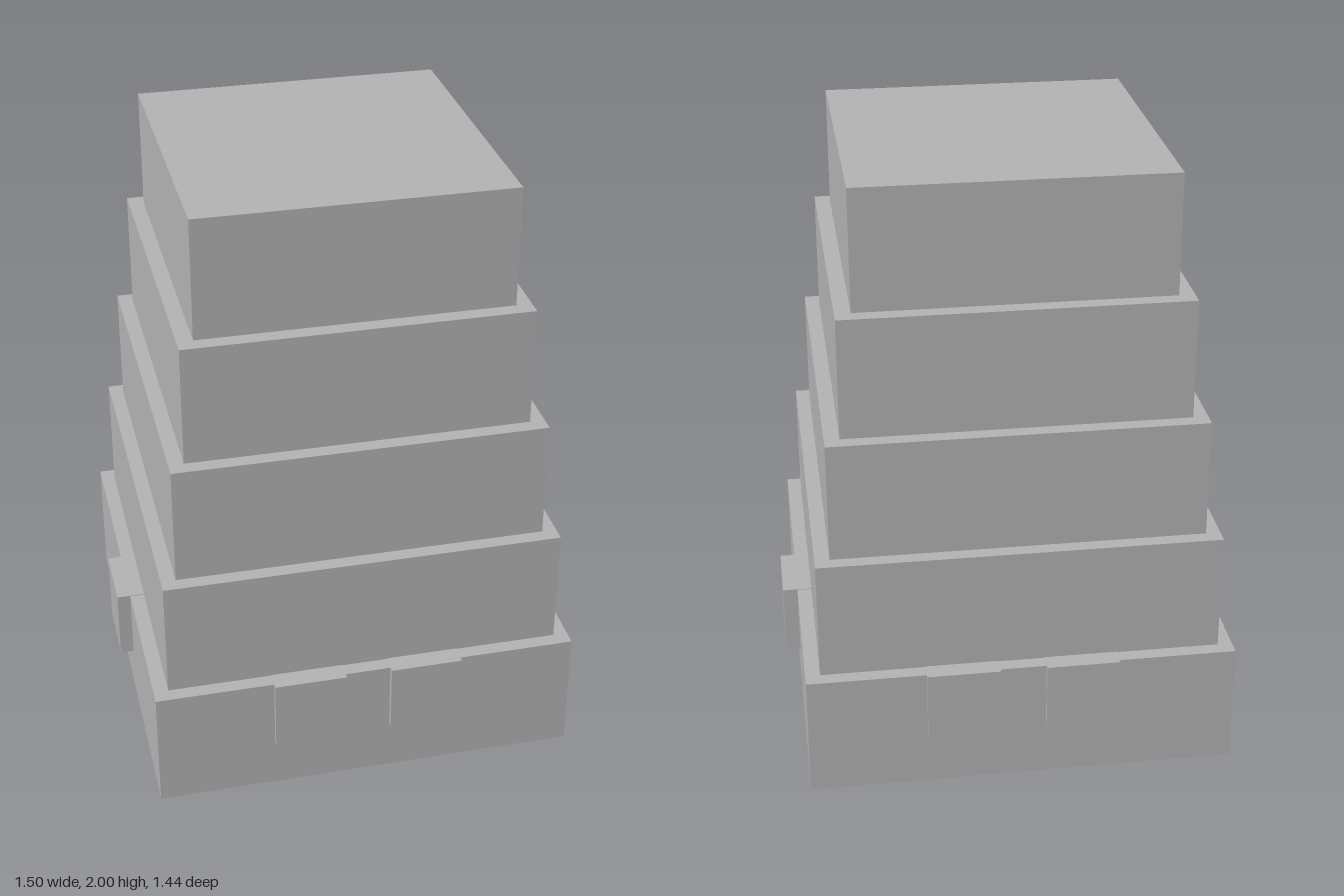
import * as THREE from 'three';

export function createModel() {
  const model = new THREE.Group();
  const grey = new THREE.MeshStandardMaterial({ color: 0xb2b2b2 });
  grey.name = 'grey';

  function addBox(name, w, h, d, x, bottom, z) {
    const mesh = new THREE.Mesh(new THREE.BoxGeometry(w, h, d), grey);
    mesh.name = name;
    mesh.position.set(x, bottom + h / 2, z);
    model.add(mesh);
  }

  // Five stacked square tiers, each narrower than the one below
  const halfWidths = [0.703, 0.655, 0.607, 0.558, 0.507];
  const levels = [0, 0.411, 0.808, 1.205, 1.603, 2];
  const shift = -0.002;
  halfWidths.forEach((half, i) => {
    addBox(`tier${i + 1}`, half * 2, levels[i + 1] - levels[i], half * 2, shift, levels[i], shift);
  });

  // Small cubes set into the base: two at front and back, one on each side
  const size = 0.239;
  const bottom = 0.174;
  for (const side of [-1, 1]) {
    const face = side > 0 ? 'front' : 'back';
    for (const x of [-0.197, 0.193]) {
      addBox(`${face}Block`, size, size, size, x, bottom, side * (0.72 - size / 2));
    }
    addBox(side > 0 ? 'leftBlock' : 'rightBlock', size, size, size,
      side * (0.75 - size / 2), bottom, shift);
  }

  return model;
}
